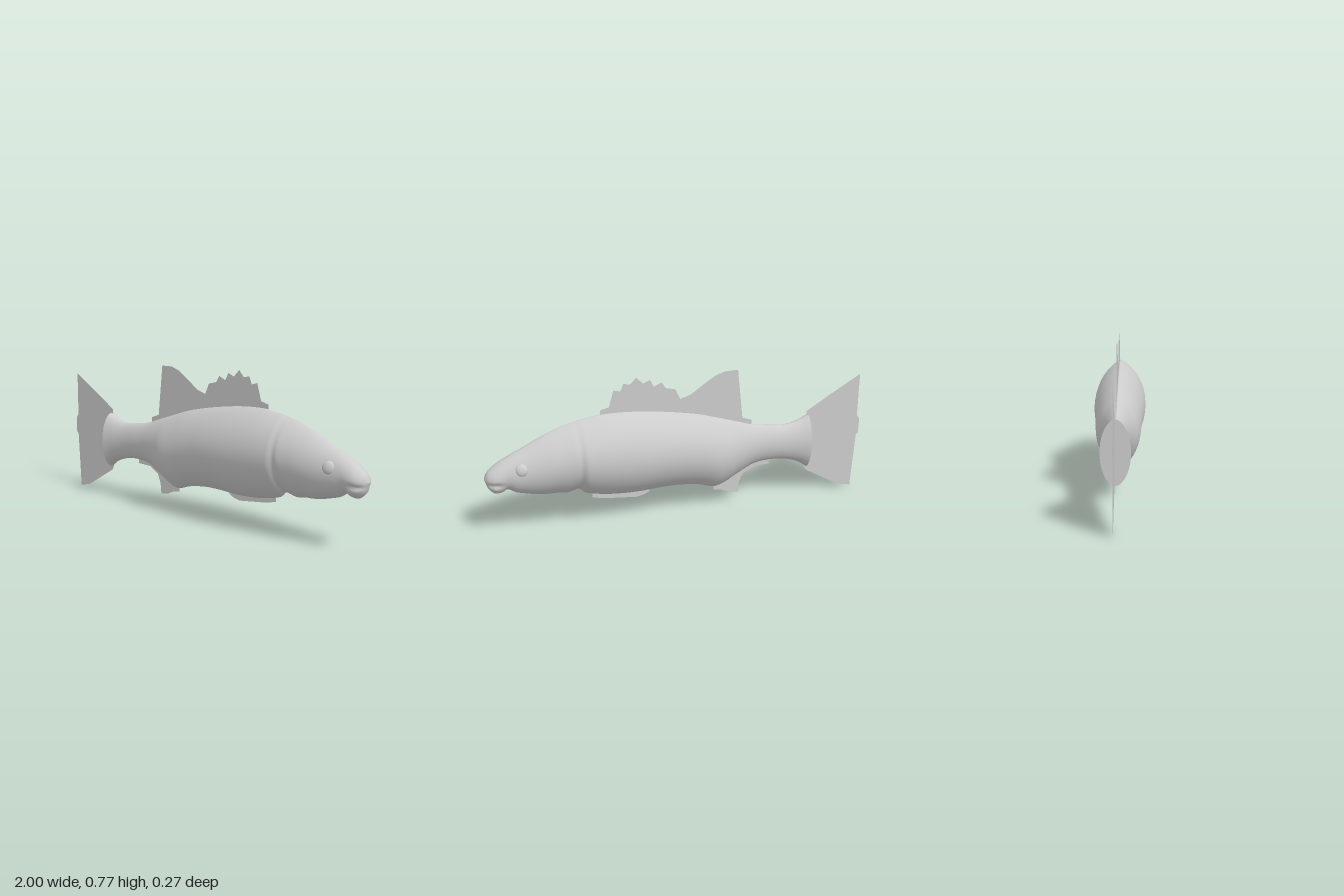
import * as THREE from 'three';

const SIDES = 48, RINGS = 170;

// Body stations from tail to snout: x, back height, belly height, half width
const STATIONS = [
  [-0.70, 0.46, 0.16, 0.07], [-0.65, 0.437, 0.195, 0.06], [-0.58, 0.42, 0.22, 0.051],
  [-0.50, 0.425, 0.23, 0.05], [-0.40, 0.442, 0.22, 0.056], [-0.30, 0.475, 0.17, 0.08],
  [-0.24, 0.495, 0.135, 0.1], [-0.18, 0.515, 0.117, 0.11], [-0.10, 0.54, 0.14, 0.115],
  [0.00, 0.562, 0.155, 0.121], [0.10, 0.58, 0.157, 0.129], [0.20, 0.594, 0.152, 0.134],
  [0.30, 0.603, 0.153, 0.135], [0.40, 0.604, 0.163, 0.133], [0.48, 0.594, 0.18, 0.129],
  [0.51, 0.59, 0.192, 0.126], [0.535, 0.584, 0.215, 0.116], [0.56, 0.578, 0.212, 0.118],
  [0.60, 0.568, 0.203, 0.113], [0.65, 0.55, 0.21, 0.107], [0.70, 0.53, 0.212, 0.099],
  [0.76, 0.50, 0.222, 0.088], [0.80, 0.48, 0.232, 0.08], [0.85, 0.457, 0.247, 0.072],
  [0.89, 0.436, 0.27, 0.066], [0.92, 0.42, 0.258, 0.064], [0.95, 0.40, 0.257, 0.06],
  [0.97, 0.385, 0.27, 0.05], [0.985, 0.37, 0.29, 0.036], [0.995, 0.35, 0.32, 0.018],
  [1.00, 0.336, 0.334, 0.001],
];
const spline = (pick) => new THREE.CatmullRomCurve3(
  STATIONS.map((s) => new THREE.Vector3(...pick(s))), false, 'catmullrom', 0.5);
const heights = spline((s) => [s[0], s[1], s[2]]);
const widths = spline((s) => [s[0], s[3], 0]);

// Lens-shaped cross-section that grows rounder toward the head and tail stem
function ringPoint(u, angle) {
  const { x, y: top, z: bottom } = heights.getPoint(u);
  const w = widths.getPoint(u).y;
  const round = Math.max(THREE.MathUtils.smoothstep(x, 0.55, 0.95),
    1 - THREE.MathUtils.smoothstep(x, -0.6, -0.2));
  const c = Math.cos(angle);
  const y = (top + bottom) / 2 + Math.sin(angle) * (top - bottom) / 2;
  let z = w * Math.sign(c) * Math.abs(c) ** (1.6 - 0.5 * round);
  // mouth crease
  const crease = Math.exp(-(((y - 0.315) / 0.012) ** 2)) * THREE.MathUtils.smoothstep(x, 0.89, 0.95);
  z *= 1 - 0.22 * crease;
  return [x, y, z];
}

function bodyGeometry() {
  const pos = [], index = [];
  for (let i = 0; i <= RINGS; i++) {
    for (let j = 0; j < SIDES; j++) pos.push(...ringPoint(i / RINGS, (j / SIDES) * Math.PI * 2));
  }
  for (let i = 0; i < RINGS; i++) {
    for (let j = 0; j < SIDES; j++) {
      const k = (j + 1) % SIDES;
      const a = i * SIDES + j, d = i * SIDES + k;
      index.push(a, a + SIDES, d, a + SIDES, d + SIDES, d);
    }
  }
  return finish(pos, index);
}

// Flat wall closing the tail end of the body
function capGeometry() {
  const pos = [-0.7, 0.31, 0], index = [];
  for (let j = 0; j < SIDES; j++) {
    pos.push(...ringPoint(0, (j / SIDES) * Math.PI * 2));
    index.push(0, 1 + j, 1 + ((j + 1) % SIDES));
  }
  return finish(pos, index);
}

function finish(pos, index) {
  const g = new THREE.BufferGeometry();
  g.setAttribute('position', new THREE.Float32BufferAttribute(pos, 3));
  g.setIndex(index);
  g.computeVertexNormals();
  return g;
}

// Fin outlines in the x-y plane
const FINS = {
  tailFin: [[-0.69, 0.48], [-0.7, 0.487], [-0.82, 0.56], [-0.985, 0.655], [-0.985, 0.42], [-1, 0.4],
    [-1, 0.315], [-0.988, 0.31], [-0.972, 0.005], [-0.9, 0.022], [-0.8, 0.08], [-0.7, 0.138], [-0.69, 0.16]],
  dorsalFin: [[-0.38, 0.42], [-0.38, 0.472], [-0.33, 0.49], [-0.3, 0.755], [-0.23, 0.755], [-0.18, 0.738],
    [-0.12, 0.7], [-0.05, 0.652], [0.005, 0.635], [0.03, 0.69], [0.08, 0.702], [0.1, 0.735], [0.14, 0.717],
    [0.16, 0.755], [0.195, 0.74], [0.23, 0.775], [0.26, 0.742], [0.295, 0.75], [0.31, 0.712], [0.345, 0.722],
    [0.37, 0.637], [0.415, 0.625], [0.415, 0.57], [0.2, 0.55], [0, 0.51]],
  analFin: [[-0.485, 0.26], [-0.485, 0.206], [-0.4, 0.203], [-0.34, 0.168], [-0.32, 0.12], [-0.315, 0.065],
    [-0.27, 0.07], [-0.22, 0.092], [-0.178, 0.098], [-0.178, 0.18], [-0.3, 0.24]],
  pelvicFin: [[0.17, 0.2], [0.17, 0.145], [0.2, 0.13], [0.24, 0.122], [0.4, 0.14], [0.47, 0.155], [0.47, 0.21]],
};

export function createModel() {
  const model = new THREE.Group();
  model.name = 'fish';
  const grey = new THREE.MeshStandardMaterial({ color: 0xcccccc, side: THREE.DoubleSide });
  grey.name = 'light grey';
  const add = (name, geometry) => {
    const mesh = new THREE.Mesh(geometry, grey);
    mesh.name = name;
    model.add(mesh);
    return mesh;
  };

  add('body', bodyGeometry());
  add('tailEnd', capGeometry());

  // Thin fins along the middle
  for (const [name, outline] of Object.entries(FINS)) {
    const shape = new THREE.Shape(outline.map(([x, y]) => new THREE.Vector2(x, y)));
    add(name, new THREE.ShapeGeometry(shape)).position.z = -0.004;
  }

  // Shallow eye bumps on both cheeks
  for (const side of [1, -1]) {
    const eye = add(side > 0 ? 'frontEye' : 'backEye', new THREE.SphereGeometry(0.031, 24, 16));
    eye.scale.z = 0.5;
    eye.position.set(0.823, 0.39, side * 0.066);
    eye.rotation.set(-side * 0.25, side * 0.2, 0);
  }
  return model;
}
